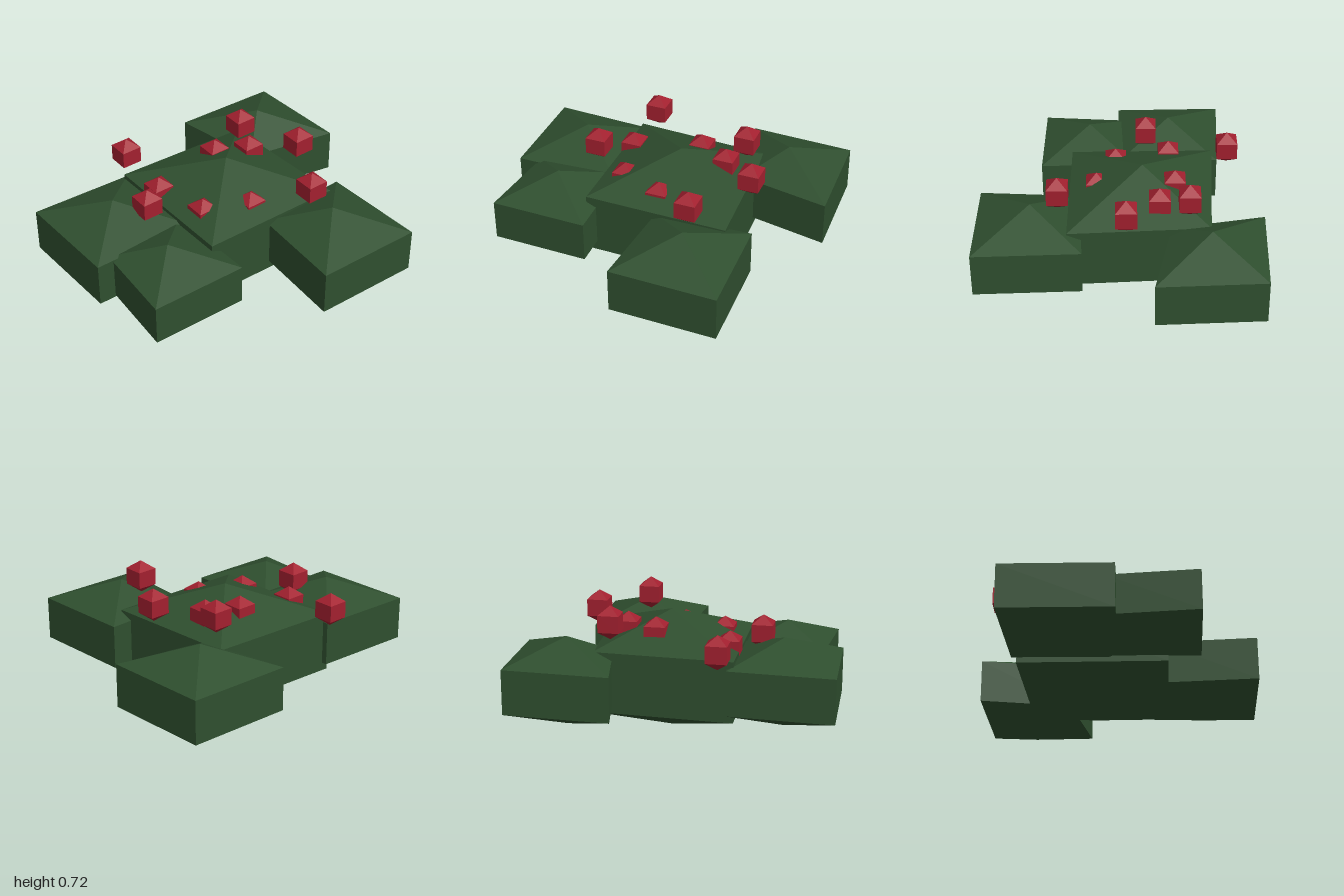
import * as THREE from 'three';

const leafGreen = new THREE.MeshStandardMaterial({ color: 0x2f4f2f });
leafGreen.name = 'leafGreen';
const berryRed = new THREE.MeshStandardMaterial({ color: 0xa3202f });
berryRed.name = 'berryRed';

// Four-sided faceted ball; each side reaches its own extent from the centre.
function facetedBall(left, right, back, front, halfHeight) {
  const ball = new THREE.SphereGeometry(1, 4, 3);
  const p = ball.attributes.position;
  const ring = Math.sin(Math.PI / 3);
  for (let i = 0; i < p.count; i++) {
    const x = p.getX(i), z = p.getZ(i);
    p.setXYZ(
      i,
      (x / ring) * (x < 0 ? left : right),
      p.getY(i) * halfHeight,
      (z / ring) * (z < 0 ? back : front)
    );
  }
  const flat = ball.toNonIndexed();
  flat.computeVertexNormals();
  return flat;
}

export function createModel() {
  const model = new THREE.Group();
  model.name = 'berryBush';

  const add = (name, geometry, material, x, y, z) => {
    const mesh = new THREE.Mesh(geometry, material);
    mesh.name = name;
    mesh.position.set(x, y, z);
    model.add(mesh);
  };

  // Foliage clumps: name, centre, reach to left/right/back/front, half height
  const clumps = [
    ['centreFoliage', -0.02, 0.34, -0.01, 0.56, 0.565, 0.505, 0.55, 0.33],
    ['leftFoliage', 0.57, 0.342, 0.24, 0.355, 0.42, 0.39, 0.405, 0.242],
    ['rightFoliage', -0.575, 0.342, 0.325, 0.42, 0.41, 0.38, 0.405, 0.242],
    ['frontFoliage', -0.235, 0.34, 0.62, 0.31, 0.38, 0.36, 0.367, 0.22],
    ['backFoliage', 0.08, 0.342, -0.61, 0.42, 0.425, 0.39, 0.285, 0.242],
  ];
  for (const [name, x, y, z, ...size] of clumps) {
    add(name, facetedBall(...size), leafGreen, x, y, z);
  }

  // Berries scattered over the foliage
  const berry = facetedBall(0.08, 0.08, 0.08, 0.08, 0.092);
  const berries = [
    [0.01, 0.64, -0.385], [0.075, 0.575, -0.23], [-0.105, 0.575, -0.17],
    [0.345, 0.64, -0.25], [-0.585, 0.575, -0.115], [-0.365, 0.513, 0.125],
    [-0.39, 0.575, 0.325], [-0.105, 0.512, 0.28], [0.135, 0.51, 0.185],
    [0.45, 0.64, 0.155],
  ];
  berries.forEach(([x, y, z], i) => add(`berry${i + 1}`, berry, berryRed, x, y, z));

  return model;
}
